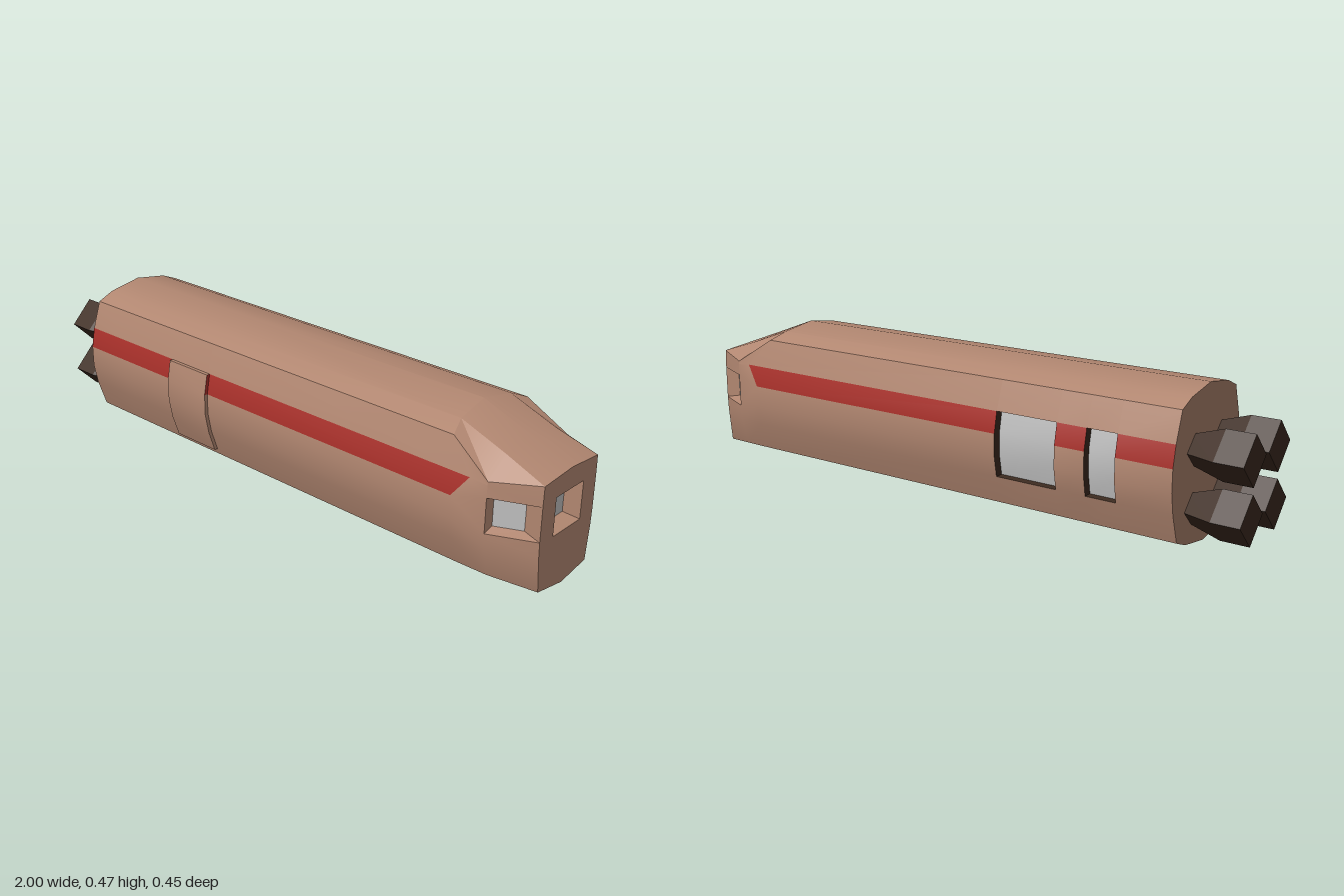
import * as THREE from 'three';
import { toCreasedNormals } from 'three/addons/utils/BufferGeometryUtils.js';

const mat = (name, color) => new THREE.MeshStandardMaterial({ name, color, side: THREE.DoubleSide });

// adds one quad (corners counter-clockwise from outside) to a list of numbers
function quad(list, a, b, c, d, flip = false) {
  const q = flip ? [a, d, c, b] : [a, b, c, d];
  for (const i of [0, 1, 2, 0, 2, 3]) list.push(...q[i]);
}

function geometryOf(list) {
  const g = new THREE.BufferGeometry();
  g.setAttribute('position', new THREE.Float32BufferAttribute(list, 3));
  g.computeVertexNormals();
  return g;
}

function loopWalls(list, outer, inner, flip) {
  outer.forEach((p, i) => {
    const j = (i + 1) % outer.length;
    quad(list, p, outer[j], inner[j], inner[i], flip);
  });
}

export function createModel() {
  const hullMat = mat('hull brown', 0xb28771);
  const red = mat('stripe red', 0xa9302a);
  const glass = mat('window grey', 0xc0c0c0);
  const dark = mat('engine dark brown', 0x3e2c21);
  const group = new THREE.Group();
  const ship = new THREE.Group();
  ship.name = 'ship';
  ship.position.z = -0.005;
  group.add(ship);
  const add = (name, geometry, material, parent = ship) => {
    const m = new THREE.Mesh(geometry, material);
    m.name = name;
    parent.add(m);
    return m;
  };

  // half cross-sections [z, y], roof ridge to keel
  const body = [[0, 0.477], [0.118, 0.457], [0.175, 0.433], [0.206, 0.342], [0.219, 0.275],
    [0.219, 0.205], [0.206, 0.137], [0.175, 0.045], [0.118, 0.022], [0, 0.002]];
  const cheek = [[0, 0.415], [0.118, 0.4], [0.196, 0.346], [0.197, 0.335], [0.198, 0.297],
    [0.198, 0.187], [0.194, 0.137], [0.173, 0.045], [0.118, 0.022], [0, 0.002]];
  const tip = [[0, 0.365], [0.122, 0.356], [0.13, 0.355], [0.131, 0.34], [0.132, 0.293],
    [0.132, 0.185], [0.13, 0.137], [0.119, 0.024], [0.118, 0.022], [0, 0.002]];
  const at = (profile, x) => profile.map(([z, y]) => [x, y, z]);

  // stations along the hull; the last body one follows the roof break and slanted stripe end
  const breakX = [0.7, 0.71, 0.73, 0.81, 0.76, 0.76, 0.76, 0.76, 0.76, 0.76];
  const shoulder = body.map(([z, y], i) => [breakX[i], y, i === 3 ? 0.203 : z]);
  const stations = [...[-0.82, -0.64, -0.54, -0.44, -0.23].map((x) => at(body, x)),
    shoulder, at(cheek, 0.865), at(tip, 1)];
  const mirror = ([x, y, z], s) => [x, y, z * s];

  // hull skin with openings, stripe on the fourth row
  const skin = [], stripe = [];
  for (const s of [1, -1]) {
    for (let k = 0; k < stations.length - 1; k++) {
      for (let i = 0; i < 9; i++) {
        const sideWindow = s < 0 && (k === 1 || k === 3) && i >= 3 && i <= 5;
        const noseWindow = k === 6 && i === 4;
        if (sideWindow || noseWindow) continue;
        const A = stations[k], B = stations[k + 1];
        quad(i === 3 && k < 5 ? stripe : skin,
          ...[A[i], A[i + 1], B[i + 1], B[i]].map((p) => mirror(p, s)), s < 0);
      }
    }
  }
  const hullGeo = toCreasedNormals(geometryOf([...skin, ...stripe]), 0.42);
  hullGeo.addGroup(0, skin.length / 3, 0);
  hullGeo.addGroup(skin.length / 3, stripe.length / 3, 1);
  add('hull', hullGeo, [hullMat, red]);

  // flat end walls, the front one pierced for its window
  const outline = (profile) => new THREE.Shape([...profile,
    ...profile.slice(1, -1).reverse().map(([z, y]) => [-z, y])].map(([z, y]) => new THREE.Vector2(z, y)));
  add('rearWall', new THREE.ShapeGeometry(outline(body)).rotateY(-Math.PI / 2).translate(-0.82, 0, 0), hullMat);
  const rect = (x, w, y0, y1) => [[x, y0, w], [x, y0, -w], [x, y1, -w], [x, y1, w]];
  const frontOuter = rect(1, 0.067, 0.177, 0.298);
  const frontInner = rect(0.95, 0.055, 0.187, 0.29);
  const frontShape = outline(tip);
  frontShape.holes.push(new THREE.Path(frontOuter.map(([, y, z]) => new THREE.Vector2(z, y))));
  add('frontWall', new THREE.ShapeGeometry(frontShape).rotateY(Math.PI / 2).translate(1, 0, 0), hullMat);

  // nose windows: tapered reveals and inset panes
  const reveals = [], panes = [];
  loopWalls(reveals, frontOuter, frontInner, false);
  quad(panes, ...frontInner);
  for (const s of [1, -1]) {
    const outer = [stations[6][5], stations[7][5], stations[7][4], stations[6][4]].map((p) => mirror(p, s));
    const inner = [[0.866, 0.198, 0.164], [0.945, 0.196, 0.124],
      [0.945, 0.285, 0.124], [0.866, 0.288, 0.164]].map((p) => mirror(p, s));
    loopWalls(reveals, outer, inner, s < 0);
    quad(panes, ...inner, s < 0);
  }
  add('noseWindowReveals', geometryOf(reveals), hullMat);
  add('noseWindowPanes', geometryOf(panes), glass);

  // curved windows on the right side
  const frames = [], sidePanes = [];
  for (const k of [1, 3]) {
    const edge = [3, 4, 5, 6].map((i) => mirror(stations[k][i], -1));
    const far = [3, 4, 5, 6].map((i) => mirror(stations[k + 1][i], -1));
    const inset = ([x, y, z]) => [x, y, z + 0.028];
    const loop = [...edge, ...far.reverse()];
    const inner = loop.map(inset);
    loopWalls(frames, loop, inner, true);
    for (let i = 0; i < 3; i++) quad(sidePanes, inner[i], inner[i + 1], inner[6 - i], inner[7 - i], true);
  }
  add('sideWindowFrames', geometryOf(frames), dark);
  add('sideWindowPanes', toCreasedNormals(geometryOf(sidePanes), 0.42), glass);

  // raised door on the left side, its edge red where it crosses the stripe
  const doorProfile = [...body.slice(3, 7), [0.182, 0.066]];
  const shell = [], rim = [], redRim = [];
  const [x0, x1] = [-0.4, -0.22];
  const lift = 0.012;
  doorProfile.slice(0, -1).forEach(([z, y], i) => {
    const [zn, yn] = doorProfile[i + 1];
    quad(shell, [x0, y, z + lift], [x0, yn, zn + lift], [x1, yn, zn + lift], [x1, y, z + lift]);
    for (const x of [x0, x1]) {
      quad(i === 0 ? redRim : rim, [x, y, z + lift], [x, yn, zn + lift], [x, yn, zn], [x, y, z], x === x0);
    }
  });
  for (const i of [0, 4]) {
    const [z, y] = doorProfile[i];
    quad(rim, [x0, y, z + lift], [x1, y, z + lift], [x1, y, z], [x0, y, z], i === 4);
  }
  const door = new THREE.Group();
  door.name = 'door';
  ship.add(door);
  add('doorPanel', toCreasedNormals(geometryOf(shell), 0.42), hullMat, door);
  add('doorRim', geometryOf(rim), hullMat, door);
  add('doorStripeRim', geometryOf(redRim), red, door);

  // four diamond-section engines: flared throat and straight bell
  for (const y of [0.123, 0.297]) {
    for (const z of [-0.086, 0.086]) {
      const engine = new THREE.Group();
      engine.name = 'engine';
      engine.position.set(0, y, z);
      ship.add(engine);
      const part = (name, rRear, rFront, xa, xb) => {
        const g = new THREE.CylinderGeometry(rRear, rFront, xb - xa, 4).rotateZ(Math.PI / 2);
        add(name, toCreasedNormals(g.translate((xa + xb) / 2, 0, 0), 0.3), dark, engine);
      };
      part('engineThroat', 0.077, 0.045, -0.91, -0.81);
      part('engineBell', 0.077, 0.077, -1, -0.91);
    }
  }
  return group;
}
